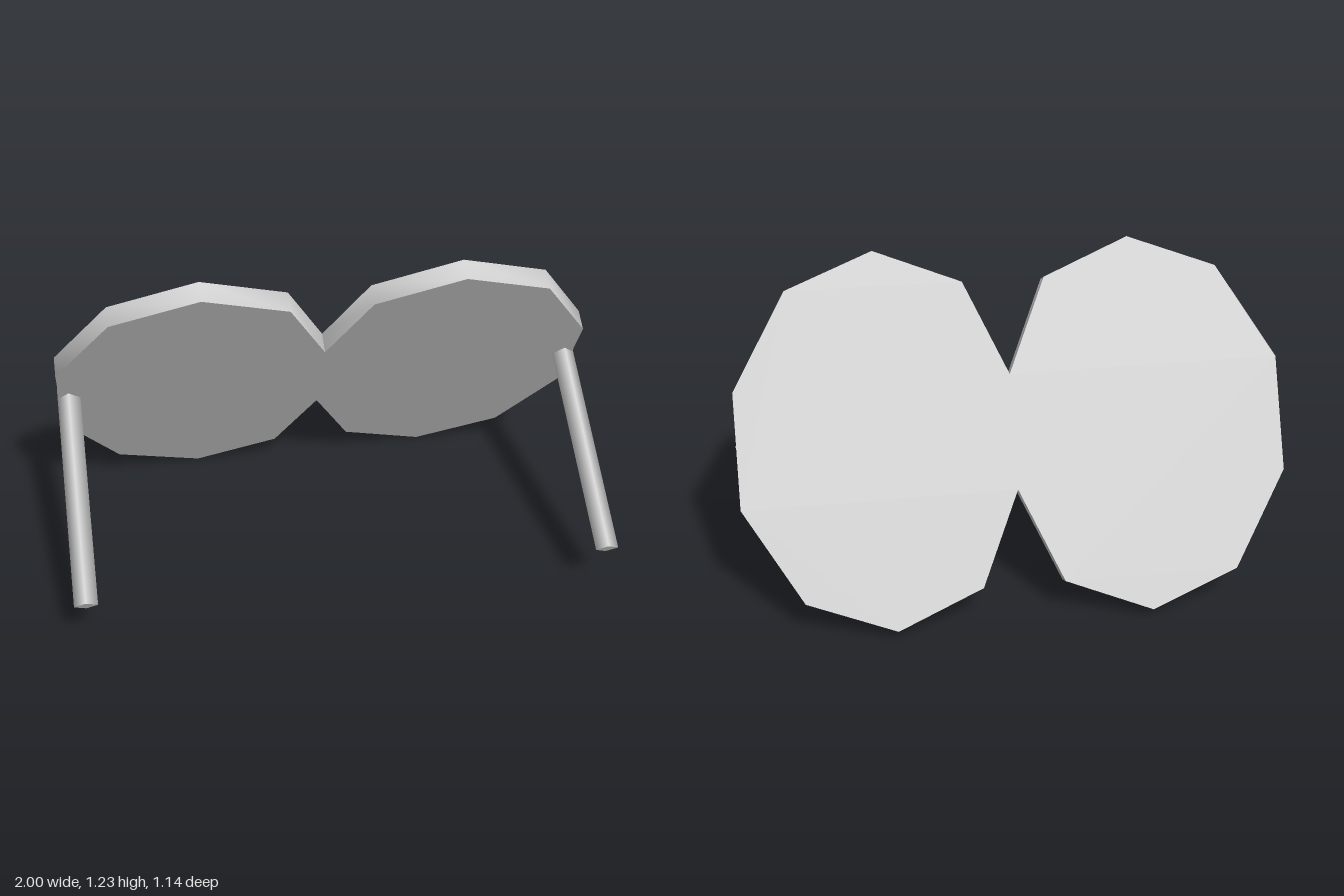
import * as THREE from 'three';
import { toCreasedNormals } from 'three/addons/utils/BufferGeometryUtils.js';

const grey = new THREE.MeshStandardMaterial({ color: 0xcccccc });

// Joined pair of ten-sided lenses, cut as one thick plate
function makeLenses(depth) {
  const quarter = [[0, 0.21], [0.15, 0.555], [0.467, 0.685], [0.79, 0.56], [0.995, 0.21]];
  const right = [...quarter, ...quarter.slice(1).reverse().map(([x, y]) => [x, -y])];
  const left = [...quarter.map(([x, y]) => [-x, -y]), ...quarter.slice(1).reverse().map(([x, y]) => [-x, y])];
  const outline = [...right, ...left].map(([x, y]) => new THREE.Vector2(x, y));
  const geometry = new THREE.ExtrudeGeometry(new THREE.Shape(outline), { depth, bevelEnabled: false });
  const mesh = new THREE.Mesh(toCreasedNormals(geometry, 0.8), grey);
  mesh.name = 'lenses';
  return mesh;
}

// Four-sided arm that gets flatter towards its tip
function makeArm(side) {
  const start = 0.03, end = 0.895;
  const geometry = new THREE.CylinderGeometry(0.0425, 0.0425, end - start, 4);
  geometry.rotateX(Math.PI / 2);
  const p = geometry.attributes.position;
  for (let i = 0; i < p.count; i++) {
    if (p.getZ(i) > 0) p.setY(i, p.getY(i) * 0.62);
  }
  const mesh = new THREE.Mesh(geometry, grey);
  mesh.position.set(side * 0.9575, 0.018, (start + end) / 2);
  mesh.name = side > 0 ? 'leftArm' : 'rightArm';
  return mesh;
}

export function createModel() {
  const group = new THREE.Group();
  group.name = 'glasses';

  // The whole frame leans forward, resting on the lower lens rims
  const frame = new THREE.Group();
  frame.name = 'frame';
  frame.add(makeLenses(0.078), makeArm(1), makeArm(-1));
  frame.rotation.x = Math.PI / 6;
  frame.position.set(0, 0.632, -0.222);
  group.add(frame);
  return group;
}
